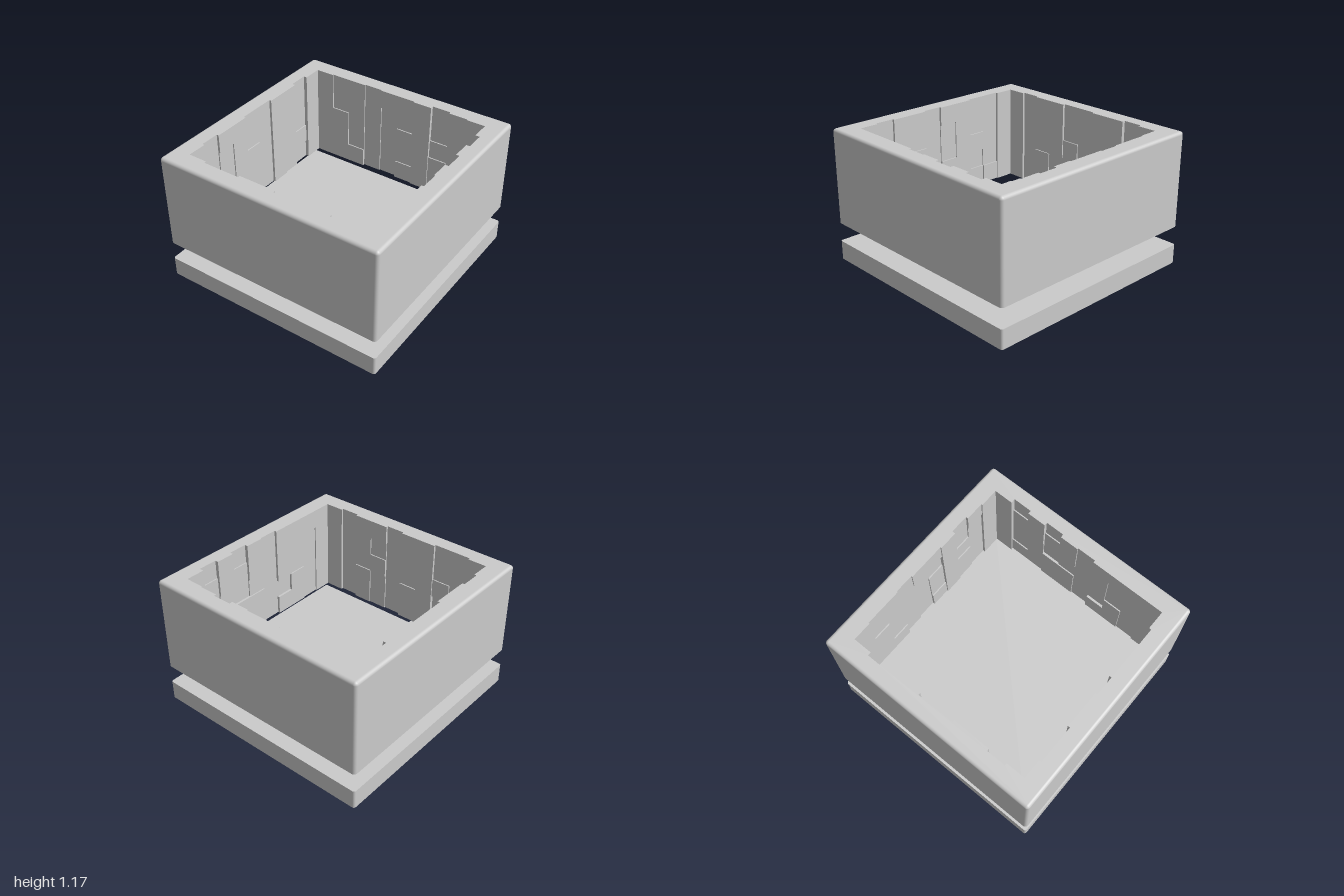
import * as THREE from 'three';

const INNER = 0.835, STEP = 0.01, CELL = INNER * 2 / 10;
const FRAME_BOTTOM = 0.335, FRAME_TOP = 1.167, BASE_TOP = 0.167;
const ROW = (FRAME_TOP - FRAME_BOTTOM) / 5;

// Recess depth of every panel cell: five rows, top first, ten cells along +x or +z
const walls = [
  { name: 'backPanels', at: (u, d) => [u, -d], flip: false,
    rows: ['0112110310', '0112330320', '0012320220', '0012320120', '0002310120'] },
  { name: 'rightPanels', at: (u, d) => [d, u], flip: false,
    rows: ['0414120000', '0313120110', '0323220110', '0321122010', '0221120010'] },
  { name: 'frontPanels', at: (u, d) => [u, d], flip: true,
    rows: ['0220020020', '0220121020', '0210120120', '0230021020', '0120021020'] },
  { name: 'leftPanels', at: (u, d) => [-d, u], flip: true,
    rows: ['0300220020', '0300220120', '0310210120', '0210211020', '0310221020'] },
];
const depth = (wall, r, c) => INNER + STEP * Number(wall.rows[r][c]);

const material = () => new THREE.MeshStandardMaterial({ color: 0xcccccc, side: THREE.DoubleSide });

function mesh(name, geometry) {
  const m = new THREE.Mesh(geometry, material());
  m.name = name;
  return m;
}

// Open square skirt with rounded corners; roundTop also rolls the upper edge inwards
function skirt(bottom, top, r, roundTop) {
  const position = [], normal = [], index = [], seg = 6;
  const rings = [[bottom, 0]];
  if (roundTop) for (let i = 0; i <= seg; i++) rings.push([top - r, i / seg * Math.PI / 2]);
  else rings.push([top, 0]);
  const count = 4 * (seg + 1);
  for (const [y, tilt] of rings) {
    for (let corner = 0; corner < 4; corner++) {
      const mid = (corner + 0.5) * Math.PI / 2;
      const cx = Math.sign(Math.cos(mid)) * (1 - r), cz = Math.sign(Math.sin(mid)) * (1 - r);
      for (let i = 0; i <= seg; i++) {
        const a = (corner + i / seg) * Math.PI / 2;
        const n = [Math.cos(tilt) * Math.cos(a), Math.sin(tilt), Math.cos(tilt) * Math.sin(a)];
        normal.push(...n);
        position.push(cx + r * n[0], y + r * n[1], cz + r * n[2]);
      }
    }
  }
  for (let k = 0; k < rings.length - 1; k++) {
    for (let i = 0; i < count; i++) {
      const a = k * count + i, b = k * count + (i + 1) % count;
      index.push(a, a + count, b, b, a + count, b + count);
    }
  }
  const g = new THREE.BufferGeometry();
  g.setAttribute('position', new THREE.Float32BufferAttribute(position, 3));
  g.setAttribute('normal', new THREE.Float32BufferAttribute(normal, 3));
  g.setIndex(index);
  return g;
}

// Stepped inner wall: one face per cell, with short returns where the depth changes
function panelWall(wall) {
  const position = [];
  const quad = (...corners) => {
    const p = corners.map(([u, y, d]) => {
      const [x, z] = wall.at(u, d);
      return [x, y, z];
    });
    if (wall.flip) p.reverse();
    for (const i of [0, 1, 2, 0, 2, 3]) position.push(...p[i]);
  };
  for (let r = 0; r < 5; r++) {
    for (let c = 0; c < 10; c++) {
      const d = depth(wall, r, c);
      const u0 = -INNER + c * CELL, u1 = u0 + CELL;
      const y1 = FRAME_TOP - r * ROW, y0 = y1 - ROW;
      quad([u0, y0, d], [u1, y0, d], [u1, y1, d], [u0, y1, d]);
      if (c < 9) {
        const e = depth(wall, r, c + 1);
        if (e !== d) quad([u1, y0, d], [u1, y0, e], [u1, y1, e], [u1, y1, d]);
      }
      if (r < 4) {
        const e = depth(wall, r + 1, c);
        if (e !== d) quad([u0, y0, e], [u1, y0, e], [u1, y0, d], [u0, y0, d]);
      }
    }
  }
  const g = new THREE.BufferGeometry();
  g.setAttribute('position', new THREE.Float32BufferAttribute(position, 3));
  g.computeVertexNormals();
  return g;
}

// Flat square at height y, with optional corner rounding and hole
function flat(half, r, y, hole) {
  const s = new THREE.Shape(), k = half - r;
  if (r > 0) {
    s.absarc(k, k, r, 0, Math.PI / 2);
    s.absarc(-k, k, r, Math.PI / 2, Math.PI);
    s.absarc(-k, -k, r, Math.PI, Math.PI * 1.5);
    s.absarc(k, -k, r, Math.PI * 1.5, Math.PI * 2);
  } else {
    s.setFromPoints([[k, k], [-k, k], [-k, -k], [k, -k]].map(p => new THREE.Vector2(...p)));
  }
  if (hole) s.holes.push(new THREE.Path(hole));
  return new THREE.ShapeGeometry(s, 6).rotateX(-Math.PI / 2).translate(0, y, 0);
}

// Notched opening of the rim, following the top row of panels
function openingOutline() {
  const points = [];
  for (const wall of walls) {
    const side = [];
    for (let c = 0; c < 10; c++) {
      for (const u of [-INNER + c * CELL, -INNER + (c + 1) * CELL]) {
        const [x, z] = wall.at(u, depth(wall, 0, c));
        side.push(new THREE.Vector2(x, -z));
      }
    }
    if (wall.flip) side.reverse();
    points.push(...side);
  }
  // Drop coincident corners
  return points.filter((p, i) => p.distanceTo(points[(i + 1) % points.length]) > 1e-5);
}

export function createModel() {
  const model = new THREE.Group();
  model.name = 'openBoxWithBase';

  // Base tray, open underneath
  const base = new THREE.Group();
  base.name = 'base';
  base.add(mesh('baseSides', skirt(0, BASE_TOP, 0.02, false)));
  base.add(mesh('baseTop', flat(1, 0.02, BASE_TOP)));

  // Floating frame: outer shell, rim and panelled inner walls, open underneath
  const frame = new THREE.Group();
  frame.name = 'frame';
  const r = 0.028;
  frame.add(mesh('outerShell', skirt(FRAME_BOTTOM, FRAME_TOP, r, true)));
  frame.add(mesh('rim', flat(1 - r, 0, FRAME_TOP, openingOutline())));
  for (const wall of walls) frame.add(mesh(wall.name, panelWall(wall)));

  model.add(base, frame);
  return model;
}
